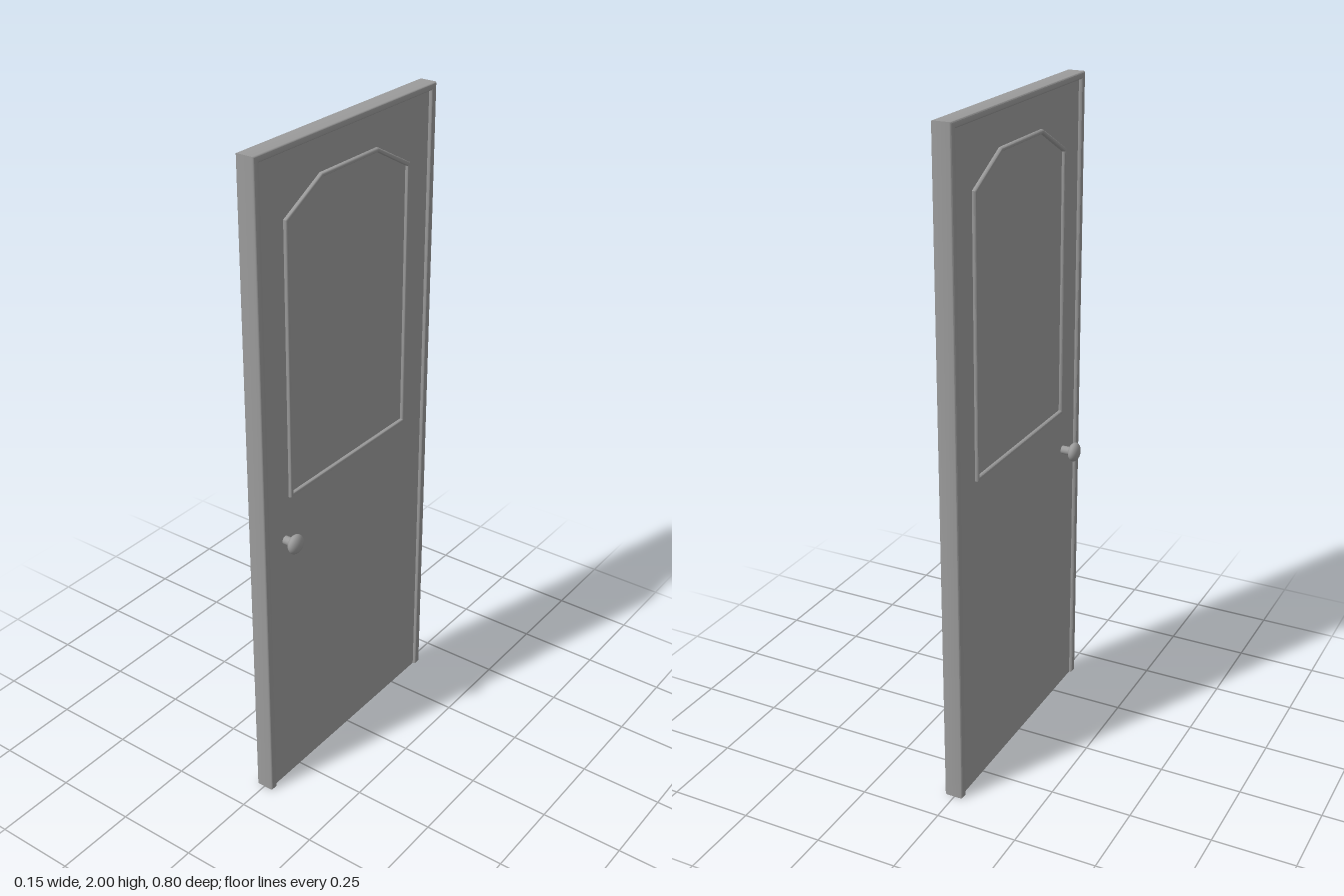
import * as THREE from 'three';
import { toCreasedNormals } from 'three/addons/utils/BufferGeometryUtils.js';

const MID = 0.0018; // centre of the door thickness
const SLAB = 0.038; // thickness of the recessed leaf

const polygon = (pts, Type = THREE.Shape) => new Type(pts.map(([a, b]) => new THREE.Vector2(a, b)));

// Extrudes an outline drawn in the z-y plane along x, centred on MID, with softly rounded edges
function extrudeAcross(shape, thickness, bevel) {
  const geo = new THREE.ExtrudeGeometry(shape, {
    depth: thickness - 2 * bevel,
    bevelThickness: bevel,
    bevelSize: bevel,
    bevelOffset: -bevel,
    bevelSegments: 3,
  });
  geo.translate(0, 0, bevel - thickness / 2);
  geo.rotateY(Math.PI / 2);
  geo.translate(MID, 0, 0);
  return toCreasedNormals(geo, 0.7);
}

// Window panel outline with clipped upper corners, inset by d
const panelOutline = (d) => [
  [-0.279 + d, 0.984 + d], [0.279 - d, 0.984 + d],
  [0.279 - d, 1.802 - d * 0.7], [0.126 - d * 0.2, 1.884 - d],
  [-0.126 + d * 0.2, 1.884 - d], [-0.279 + d, 1.802 - d * 0.7],
];

export function createModel() {
  const door = new THREE.Group();
  door.name = 'door';
  const material = new THREE.MeshStandardMaterial({ color: 0x9b9b9b });
  const add = (name, geometry) => {
    const mesh = new THREE.Mesh(geometry, material);
    mesh.name = name;
    door.add(mesh);
    return mesh;
  };

  // Leaf
  add('leaf', new THREE.BoxGeometry(SLAB, 1.99, 0.78)).position.set(MID, 0.995, 0);

  // Raised border on the two sides and top, open at the bottom
  const border = polygon([
    [-0.4, 0], [-0.377, 0], [-0.377, 1.98], [0.377, 1.98],
    [0.377, 0], [0.4, 0], [0.4, 2], [-0.4, 2],
  ]);
  add('border', extrudeAcross(border, 0.059, 0.006));

  // Moulding around the upper panel, standing out on both faces
  const moulding = polygon(panelOutline(0));
  moulding.holes.push(polygon(panelOutline(0.012), THREE.Path));
  add('panelMoulding', extrudeAcross(moulding, 0.058, 0.005));

  // Knobs: stem and flattened ball turned around one axis
  const profile = [[0.013, 0.01], [0.013, 0.042]];
  for (let i = 2; i <= 12; i++) {
    const a = -Math.PI / 2 + (i / 12) * Math.PI;
    profile.push([Math.max(0, 0.03 * Math.cos(a)), 0.058 + 0.0175 * Math.sin(a)]);
  }
  const knob = new THREE.LatheGeometry(profile.map(([r, h]) => new THREE.Vector2(r, h)), 24);
  for (const side of [1, -1]) {
    const mesh = add(side > 0 ? 'leftKnob' : 'rightKnob', knob);
    mesh.rotation.z = -side * Math.PI / 2;
    mesh.position.set(0, 0.852, 0.298);
  }

  return door;
}
